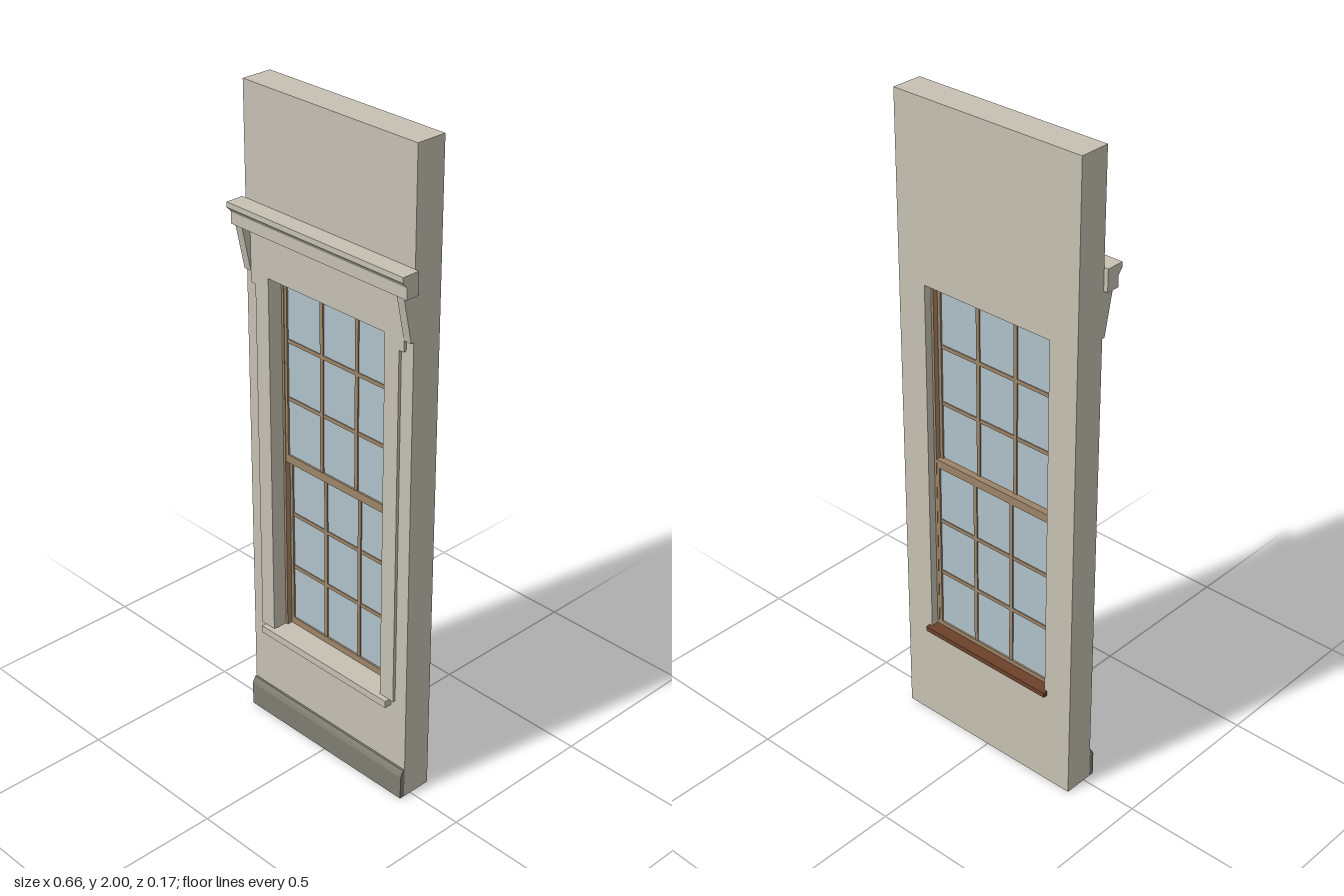
import * as THREE from 'three';

const mat = (name, color, extra = {}) => {
  const m = new THREE.MeshStandardMaterial({ color, ...extra });
  m.name = name;
  return m;
};

export function createModel() {
  const stone = mat('stone', 0xc6c1b3);
  const plinthGrey = mat('plinthGrey', 0x7d7d72);
  const wood = mat('paleWood', 0x9d8468);
  const darkWood = mat('darkWood', 0x6d412a);
  const glass = mat('glass', 0xb0c1c9);

  const model = new THREE.Group();
  model.name = 'windowWall';

  const add = (parent, name, geometry, material) => {
    const mesh = new THREE.Mesh(geometry, material);
    mesh.name = name;
    parent.add(mesh);
    return mesh;
  };
  // Box given by its limits
  const box = (parent, name, material, x0, x1, y0, y1, z0, z1) => {
    const g = new THREE.BoxGeometry(x1 - x0, y1 - y0, z1 - z0);
    g.translate((x0 + x1) / 2, (y0 + y1) / 2, (z0 + z1) / 2);
    return add(parent, name, g, material);
  };
  const path = (pts) => pts.map(([x, y]) => new THREE.Vector2(x, y));
  // Front outline extruded from z0 to z1
  const plate = (name, material, outline, hole, z0, z1) => {
    const shape = new THREE.Shape(path(outline));
    if (hole) shape.holes.push(new THREE.Path(path(hole)));
    const g = new THREE.ExtrudeGeometry(shape, { depth: z1 - z0, bevelEnabled: false });
    g.translate(0, 0, z0);
    return add(model, name, g, material);
  };
  // Side profile of [z, y] points extruded along x
  const moulding = (name, material, profile, x0, x1) => {
    const g = new THREE.ExtrudeGeometry(new THREE.Shape(path(profile)), { depth: x1 - x0, bevelEnabled: false });
    g.rotateY(-Math.PI / 2);
    g.translate(x1, 0, 0);
    return add(model, name, g, material);
  };

  const W = 0.317, back = -0.07, front = 0.025;
  const ox = 0.222, oy0 = 0.318, oy1 = 1.463;
  const rect = (x, y0, y1) => [[-x, y0], [x, y0], [x, y1], [-x, y1]];

  // Wall with its opening
  plate('wall', stone, rect(W, 0, 2), rect(ox, oy0, oy1), back, front);

  // Eared casing around the opening
  plate('casing', stone, [
    [-0.274, oy0], [-ox, oy0], [-ox, oy1], [ox, oy1], [ox, oy0], [0.274, oy0],
    [0.274, 1.43], [0.291, 1.43], [0.291, 1.605], [-0.291, 1.605], [-0.291, 1.43], [-0.274, 1.43],
  ], null, front, 0.034);

  // Cornice and its tapered brackets
  moulding('cornice', stone, [
    [front, 1.6], [0.067, 1.6], [0.067, 1.634], [0.07, 1.639], [0.081, 1.651], [0.081, 1.667], [front, 1.667],
  ], -0.33, 0.33);
  for (const s of [-1, 1]) {
    const a = s * 0.291, b = s * 0.317;
    moulding('bracket', stone, [[front, 1.463], [0.034, 1.463], [0.036, 1.472], [0.063, 1.6], [front, 1.6]],
      Math.min(a, b), Math.max(a, b));
  }

  // Outer sill and base
  box(model, 'outerSill', stone, -0.259, 0.259, 0.297, 0.32, front, 0.05);
  moulding('plinth', plinthGrey, [
    [front, 0], [0.041, 0], [0.041, 0.075], [0.037, 0.085], [0.031, 0.095], [front, 0.095],
  ], -W, W);

  // Inner sill
  box(model, 'innerSill', darkWood, -0.232, 0.232, 0.312, 0.327, -0.085, back);
  box(model, 'innerSillBoard', darkWood, -ox, ox, 0.316, 0.327, back, -0.046);

  // Double-hung window: two sashes of three by three panes
  const win = new THREE.Group();
  win.name = 'window';
  model.add(win);
  for (const s of [-1, 1]) {
    box(win, 'jamb', wood, Math.min(s * 0.214, s * ox), Math.max(s * 0.214, s * ox), oy0, oy1, -0.046, -0.013);
  }
  box(win, 'headJamb', wood, -0.214, 0.214, 1.453, oy1, -0.046, -0.013);

  const sash = (name, y0, y1, bottom, top, z0, z1) => {
    const g = new THREE.Group();
    g.name = name;
    win.add(g);
    const gx = 0.204, mid = (z0 + z1) / 2, t = 0.006;
    const p0 = y0 + bottom, p1 = y1 - top;
    box(g, 'leftStile', wood, gx, 0.215, y0, y1, z0, z1);
    box(g, 'rightStile', wood, -0.215, -gx, y0, y1, z0, z1);
    box(g, 'bottomRail', wood, -gx, gx, y0, p0, z0, z1);
    box(g, 'topRail', wood, -gx, gx, p1, y1, z0, z1);
    box(g, 'pane', glass, -gx, gx, p0, p1, mid - 0.002, mid + 0.002);
    for (const i of [1, 2]) {
      const x = -gx + (2 * gx * i) / 3, y = p0 + ((p1 - p0) * i) / 3;
      box(g, 'verticalBar', wood, x - t, x + t, p0, p1, mid - 0.006, mid + 0.006);
      box(g, 'horizontalBar', wood, -gx, gx, y - t, y + t, mid - 0.005, mid + 0.005);
    }
  };
  sash('upperSash', 0.878, 1.455, 0.026, 0.01, -0.03, -0.015);
  sash('lowerSash', 0.318, 0.904, 0.021, 0.026, -0.045, -0.03);

  return model;
}
